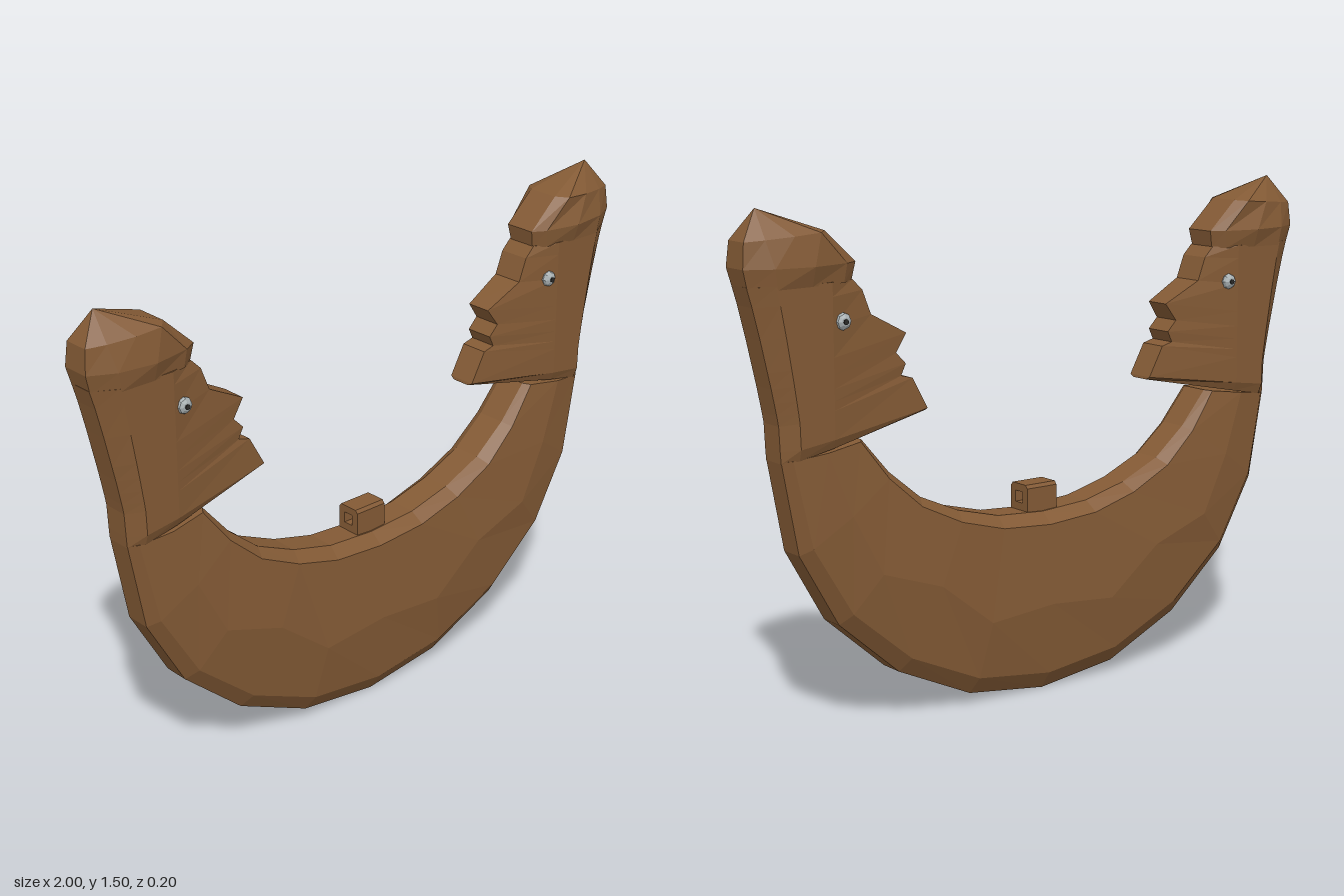
import * as THREE from 'three';

const wood = new THREE.MeshStandardMaterial({ color: 0x835a35 });
wood.name = 'wood';
wood.flatShading = true;
const silver = new THREE.MeshStandardMaterial({ color: 0xa9b1b3 });
silver.name = 'silver';
silver.flatShading = true;
const dark = new THREE.MeshStandardMaterial({ color: 0x2b2a28 });
dark.name = 'dark';

// Closed section running from an outer to an inner edge point: ts are positions
// along that line, zs the half thickness there.
function ring(o, i, ts, zs) {
  const side = ts.map((t, k) => new THREE.Vector3(
    o[0] + (i[0] - o[0]) * t, o[1] + (i[1] - o[1]) * t, zs[k]));
  const back = side.map((p) => new THREE.Vector3(p.x, p.y, -p.z)).reverse();
  return [...side, ...back];
}

const centre = (r) => r.reduce((s, p) => s.add(p), new THREE.Vector3()).divideScalar(r.length);
const mirror = (r) => r.map((p) => new THREE.Vector3(-p.x, p.y, p.z));

// Flat-shaded skin over a list of sections, closed at both ends
function loft(rings, startTip = centre(rings[0]), endTip = centre(rings[rings.length - 1])) {
  const pts = [];
  const n = rings[0].length;
  const last = rings[rings.length - 1];
  for (let j = 0; j < n; j++) {
    const m = (j + 1) % n;
    for (let k = 0; k < rings.length - 1; k++) {
      const [a, b, c, d] = [rings[k][j], rings[k][m], rings[k + 1][j], rings[k + 1][m]];
      pts.push(a, c, b, b, c, d);
    }
    pts.push(startTip, rings[0][j], rings[0][m], endTip, last[m], last[j]);
  }
  const g = new THREE.BufferGeometry().setFromPoints(pts);
  g.computeVertexNormals();
  return g;
}

function add(parent, name, geometry, material) {
  const mesh = new THREE.Mesh(geometry, material);
  mesh.name = name;
  parent.add(mesh);
  return mesh;
}

// Crescent sections: outer point, inner point, ridge position, ridge half thickness
const BODY = [
  [[0, 0.005], [0, 0.556], 0.5, 0.1],
  [[0.27, 0.04], [0.166, 0.567], 0.42, 0.1],
  [[0.52, 0.155], [0.31, 0.604], 0.55, 0.1],
  [[0.72, 0.33], [0.444, 0.663], 0.42, 0.097],
  [[0.845, 0.55], [0.55, 0.75], 0.5, 0.09],
  [[0.895, 0.82], [0.64, 0.855], 0.5, 0.08],
];

// Head sections from chin to brow: outer point, face point, face half width
const HEAD = [
  [[0.895, 0.815], [0.412, 0.91], 0.03],
  [[0.897, 0.85], [0.414, 0.918], 0.045],
  [[0.9, 0.92], [0.465, 1.01], 0.045],
  [[0.905, 0.95], [0.503, 1.02], 0.045],
  [[0.912, 0.985], [0.487, 1.053], 0.045],
  [[0.92, 1.025], [0.519, 1.086], 0.045],
  [[0.93, 1.07], [0.481, 1.139], 0.04],
  [[0.95, 1.16], [0.604, 1.203], 0.05],
  [[0.972, 1.25], [0.631, 1.273], 0.05],
  [[0.988, 1.305], [0.663, 1.305], 0.05],
];

export function createModel() {
  const group = new THREE.Group();
  group.name = 'doubleHeadedCrescent';

  // Crescent body
  const half = BODY.map(([o, i, t, z]) =>
    ring(o, i, [0, 0.1, t, 0.94, 1], [0.04, z * 0.77, z, z * 0.85, 0.045]));
  add(group, 'crescentBody', loft([...half.slice(1).reverse().map(mirror), ...half]), wood);

  // Carved head: jaw narrows from the cheek to the face profile
  const headRings = HEAD.map(([o, i, w], k) => {
    const cheek = (o[0] - 0.745) / (o[0] - i[0]);
    const z = k === 0 ? 0.068 : 0.08;
    return ring(o, i, [0, 0.28 * cheek, cheek, 1], [0.04, z, z, w]);
  });
  // Pointed cap
  const ts = [0, 0.22, 0.55, 0.88, 1];
  const capRings = [
    ring([0.985, 1.295], [0.663, 1.3], ts, [0.04, 0.08, 0.082, 0.07, 0.045]),
    ring([1.0, 1.353], [0.652, 1.353], ts, [0.045, 0.085, 0.1, 0.075, 0.05]),
    ring([0.993, 1.425], [0.75, 1.444], ts, [0.04, 0.062, 0.08, 0.084, 0.05]),
  ];
  const tip = new THREE.Vector3(0.935, 1.51, 0);

  for (const side of [1, -1]) {
    const name = side > 0 ? 'left' : 'right';
    const head = new THREE.Group();
    head.name = name + 'Head';
    group.add(head);
    if (side > 0) {
      add(head, 'face', loft(headRings), wood);
      add(head, 'cap', loft(capRings, undefined, tip), wood);
    } else {
      add(head, 'face', loft(headRings.map(mirror).reverse()), wood);
      add(head, 'cap', loft(capRings.map(mirror).reverse(), mirror([tip])[0]), wood);
    }
    // Stud eyes on both faces of the head
    for (const face of [1, -1]) {
      const stud = add(head, 'eye', new THREE.SphereGeometry(0.025, 8, 6), silver);
      stud.geometry.rotateX(Math.PI / 2);
      stud.scale.z = 0.65;
      stud.position.set(0.71 * side, 1.195, 0.074 * face);
      const pupil = add(head, 'pupil', new THREE.CylinderGeometry(0.008, 0.008, 0.006, 8), dark);
      pupil.rotation.x = Math.PI / 2;
      pupil.position.set(0.71 * side, 1.195, 0.089 * face);
    }
  }

  // Hanging loop: a small block pierced from side to side
  const shape = new THREE.Shape([[-0.04, 0.53], [0.04, 0.53], [0.04, 0.63], [0.032, 0.64],
    [-0.032, 0.64], [-0.04, 0.63]].map(([x, y]) => new THREE.Vector2(x, y)));
  shape.holes.push(new THREE.Path([[-0.017, 0.583], [-0.017, 0.617], [0.017, 0.617],
    [0.017, 0.583]].map(([x, y]) => new THREE.Vector2(x, y))));
  const loop = new THREE.ExtrudeGeometry(shape, { depth: 0.11, bevelEnabled: false });
  loop.translate(0, 0, -0.055).rotateY(Math.PI / 2);
  add(group, 'hangingLoop', loop, wood);

  return group;
}
